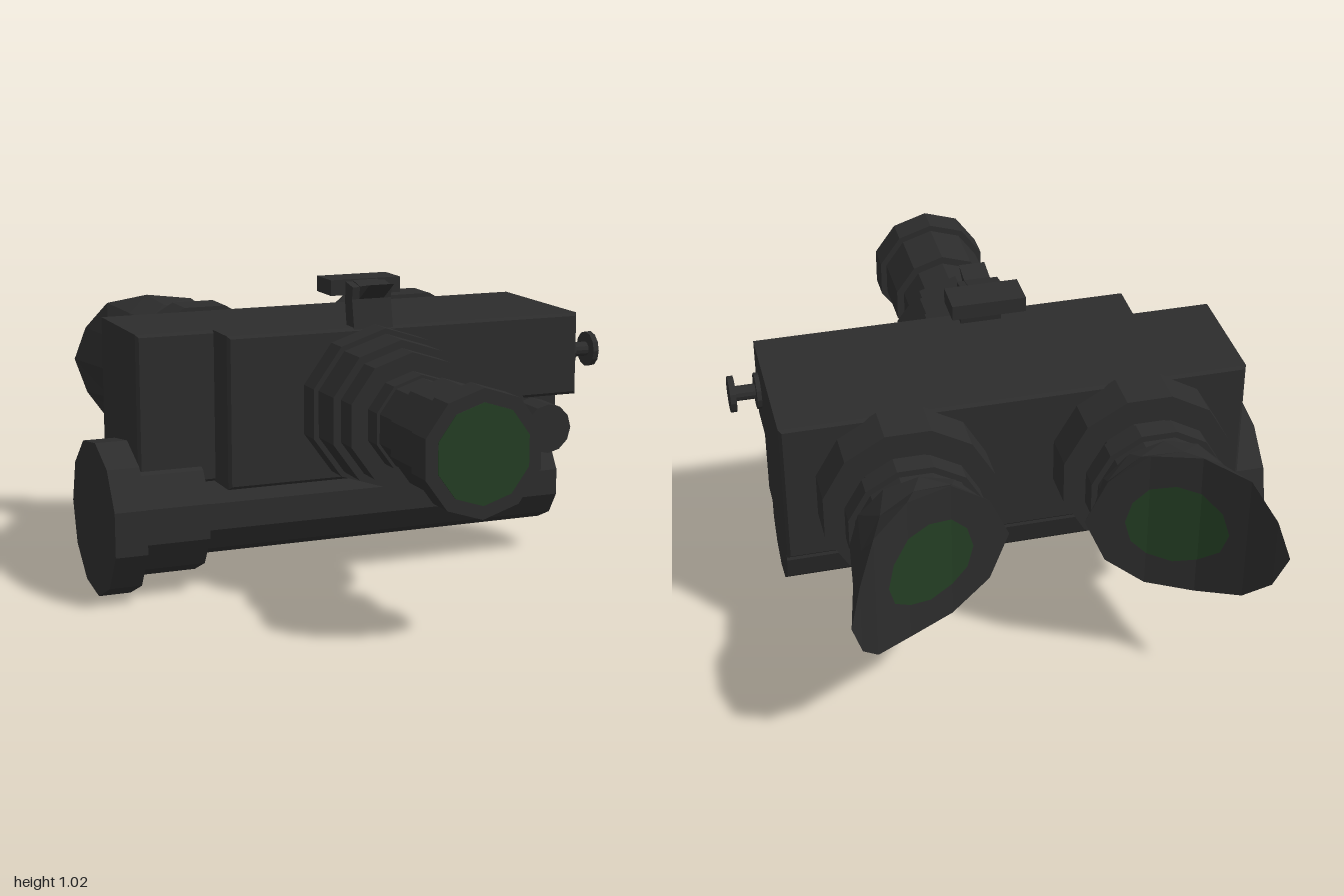
import * as THREE from 'three';

const housing = new THREE.MeshStandardMaterial({ color: 0x2c2c2c, side: THREE.DoubleSide });
housing.name = 'dark grey housing';
const glass = new THREE.MeshStandardMaterial({ color: 0x233d23, side: THREE.DoubleSide });
glass.name = 'green glass';

// faceted mesh: every face keeps its own normal
function part(name, geo, mat = housing) {
  const g = geo.index ? geo.toNonIndexed() : geo;
  g.computeVertexNormals();
  const m = new THREE.Mesh(g, mat);
  m.name = name;
  return m;
}

// cylinder along z between z0 and z1
function discZ(name, x, y, z0, z1, r, n, turn = 0, mat = housing) {
  const g = new THREE.CylinderGeometry(r, r, Math.abs(z1 - z0), n, 1, false, turn);
  g.rotateX(Math.PI / 2).translate(x, y, (z0 + z1) / 2);
  return part(name, g, mat);
}

// cylinder along x between x0 and x1
function discX(name, x0, x1, y, z, r, n) {
  const g = new THREE.CylinderGeometry(r, r, x1 - x0, n, 1, false, Math.PI);
  g.rotateZ(Math.PI / 2).translate((x0 + x1) / 2, y, z);
  return part(name, g);
}

// bevelled slab: outline in x/y, extruded from z0 to z1
function slab(name, pts, z0, z1, b = 0.01) {
  const g = new THREE.ExtrudeGeometry(new THREE.Shape(pts.map(p => new THREE.Vector2(...p))), {
    depth: z1 - z0 - 2 * b, bevelEnabled: true, bevelSegments: 1,
    bevelSize: b, bevelOffset: -b, bevelThickness: b,
  });
  g.translate(0, 0, z0 + b);
  return part(name, g);
}

// side profile in z/y, extruded across x0..x1
function sideExtrude(name, pts, x0, x1) {
  const s = new THREE.Shape(pts.map(([z, y]) => new THREE.Vector2(-z, y)));
  const g = new THREE.ExtrudeGeometry(s, { depth: x1 - x0, bevelEnabled: false });
  g.rotateY(Math.PI / 2).translate(x0, 0, 0);
  return part(name, g);
}

// skin over rows of points; flip reverses the faces
function skin(rows, flip) {
  const pos = [];
  for (let i = 0; i < rows.length - 1; i++) {
    for (let j = 0; j < rows[i].length - 1; j++) {
      const a = rows[i][j], b = rows[i][j + 1], c = rows[i + 1][j + 1], d = rows[i + 1][j];
      for (const p of flip ? [a, c, b, a, d, c] : [a, b, c, a, c, d]) pos.push(...p);
    }
  }
  const g = new THREE.BufferGeometry();
  g.setAttribute('position', new THREE.Float32BufferAttribute(pos, 3));
  return g;
}

// half of the eyecup rim: outward offset, height offset, z
const RIM = [[0.285, 0, -1], [0.25, 0.12, -0.965], [0.19, 0.22, -0.88], [0.07, 0.257, -0.78],
  [-0.075, 0.245, -0.715], [-0.2, 0.15, -0.69], [-0.265, 0, -0.675]];

function rimZ(u) {
  let i = 0;
  while (i < RIM.length - 2 && RIM[i + 1][0] > u) i++;
  const [a, , za] = RIM[i], [b, , zb] = RIM[i + 1];
  return za + (zb - za) * (a - u) / (a - b);
}

function eyepiece(s) {
  const g = new THREE.Group();
  g.name = s > 0 ? 'leftEyepiece' : 'rightEyepiece';
  const cx = 0.385 * s, cy = 0.61, turn = Math.PI / 12;
  const rings = [[-0.33, -0.465, 0.283], [-0.465, -0.505, 0.195], [-0.505, -0.57, 0.221], [-0.57, -0.625, 0.2]];
  rings.forEach(([z0, z1, r]) => g.add(discZ('eyepieceRing', cx, cy, z0, z1, r, 12, turn)));

  // flared eyecup wall
  const rim = [...RIM, ...RIM.slice(1, -1).reverse().map(([u, v, z]) => [u, -v, z]), RIM[0]];
  const place = (u, v, z) => [cx + s * u, cy + v, z];
  const base = rim.map((p, i) => {
    const a = i * Math.PI / 6;
    return [0.22 * Math.cos(a), 0.22 * Math.sin(a), -0.615];
  });
  const rows = [0, 0.5, 1].map(t => rim.map((p, i) => {
    const k = t === 0.5 ? 0.97 : 1;
    return place(...[0, 1, 2].map(c => (base[i][c] + (p[c] - base[i][c]) * t) * (c < 2 ? k : 1)));
  }));
  g.add(part('eyecup', skin(rows, s > 0)));

  // curved face closing the cup, with the round glass on it
  const face = RIM.map(([u, v, z]) => [place(u, v, z), place(u, -v, z)]);
  g.add(part('eyecupFace', skin(face, s > 0)));
  const r = 0.145;
  const lens = [r, 0.125, 0.07, 0, -0.075, -0.125, -r].map(u => {
    const v = Math.sqrt(r * r - u * u), z = rimZ(u) - 0.006;
    return [place(u, v, z), place(u, -v, z)];
  });
  g.add(part('eyeGlass', skin(lens, s > 0), glass));
  return g;
}

export function createModel() {
  const model = new THREE.Group();
  model.name = 'nightVisionBinoculars';

  // body: full-width rear block and stepped front block
  model.add(slab('rearBody', [[-0.75, 0.37], [0.765, 0.37], [0.765, 0.87], [-0.75, 0.87]], -0.34, 0.065));
  model.add(slab('frontBody', [[-0.49, 0.37], [0.57, 0.37], [0.57, 0.59], [0.765, 0.59],
    [0.765, 0.87], [-0.49, 0.87]], 0.03, 0.2));
  model.add(discZ('cornerKnob', 0.665, 0.475, 0.05, 0.195, 0.085, 12));

  // stepped objective
  const objective = new THREE.Group();
  objective.name = 'objective';
  const steps = [[0.19, 0.285, 0.2625], [0.285, 0.41, 0.245], [0.41, 0.495, 0.219], [0.495, 0.565, 0.16],
    [0.565, 0.705, 0.15], [0.705, 0.9, 0.176], [0.9, 0.997, 0.1975]];
  steps.forEach(([z0, z1, r]) => objective.add(discZ('objectiveRing', 0.018, 0.615, z0, z1, r, 10)));
  objective.add(discZ('objectiveGlass', 0.018, 0.615, 0.995, 1, 0.155, 10, 0, glass));
  model.add(objective);

  model.add(eyepiece(1), eyepiece(-1));

  // battery tube under the body
  model.add(discX('batteryTube', -0.56, 0.753, 0.26, -0.052, 0.157, 11));
  model.add(discX('tubeCollar', -0.78, -0.538, 0.26, -0.052, 0.207, 11));
  model.add(discX('tubeCap', -0.87, -0.763, 0.258, -0.052, 0.259, 11));

  // side knob
  model.add(discX('knobFlange', 0.76, 0.78, 0.727, 0.112, 0.06, 12));
  model.add(discX('knobShaft', 0.77, 0.855, 0.727, 0.112, 0.025, 12));
  model.add(discX('knobHead', 0.847, 0.867, 0.727, 0.112, 0.06, 12));

  // top mount
  model.add(sideExtrude('mountStem', [[0.197, 0.86], [0.133, 0.86], [0.115, 0.975], [0.115, 1.013],
    [0.185, 1.0], [0.178, 0.96]], -0.055, 0.082));
  model.add(sideExtrude('mountHook', [[0.12, 0.96], [0.178, 0.96], [0.262, 1.016], [0.185, 1.002], [0.12, 1.016]], -0.03, 0.057));
  model.add(sideExtrude('mountPlate', [[0.125, 0.967], [0.125, 1.018], [0.005, 1.018], [0.005, 0.967]], -0.107, 0.138));
  return model;
}
